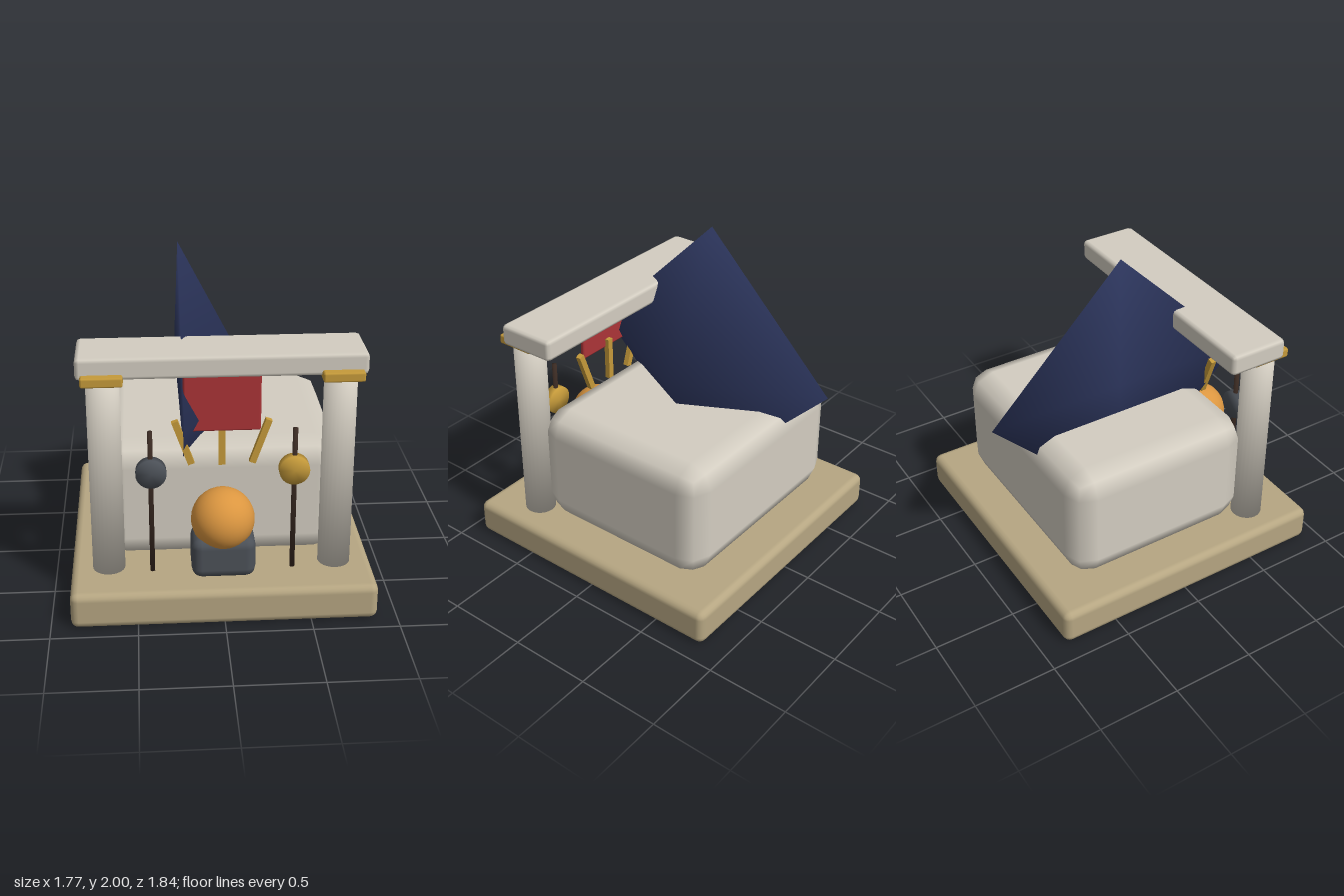
import * as THREE from 'three';
import { mergeVertices } from 'three/addons/utils/BufferGeometryUtils.js';
import { RoundedBoxGeometry } from 'three/addons/geometries/RoundedBoxGeometry.js';

const mat = (name, color) => {
  const m = new THREE.MeshStandardMaterial({ color });
  m.name = name;
  return m;
};

// Weld all corners and give them soft, angle-weighted normals
function soften(geometry) {
  geometry.deleteAttribute('normal');
  geometry.deleteAttribute('uv');
  const g = mergeVertices(geometry);
  const pos = g.attributes.position;
  const sums = Array.from({ length: pos.count }, () => new THREE.Vector3());
  const tri = new THREE.Triangle();
  const n = new THREE.Vector3();
  for (let i = 0; i < g.index.count; i += 3) {
    const ids = [0, 1, 2].map((k) => g.index.getX(i + k));
    tri.setFromAttributeAndIndices(pos, ...ids);
    tri.getNormal(n);
    const c = [tri.a, tri.b, tri.c];
    ids.forEach((id, k) => {
      const u = c[(k + 1) % 3].clone().sub(c[k]);
      const v = c[(k + 2) % 3].clone().sub(c[k]);
      sums[id].addScaledVector(n, u.angleTo(v));
    });
  }
  g.setAttribute('normal', new THREE.Float32BufferAttribute(
    sums.flatMap((s) => s.normalize().toArray()), 3));
  return g;
}

export function createModel() {
  const stone = mat('pale stone', 0xd3cdc1);
  const sand = mat('sand', 0xb6a682);
  const gold = mat('gold', 0xc59a3a);
  const navy = mat('navy', 0x2c355c);
  const red = mat('red', 0xab3437);
  const orange = mat('orange', 0xdb9640);
  const slate = mat('slate', 0x4c5158);
  const brown = mat('dark brown', 0x3a2a22);

  const model = new THREE.Group();
  model.name = 'shrine';
  const add = (name, geometry, material, x, y, z) => {
    const mesh = new THREE.Mesh(geometry, material);
    mesh.name = name;
    mesh.position.set(x, y, z);
    model.add(mesh);
    return mesh;
  };
  const block = (w, h, d, r, seg = 1) => new RoundedBoxGeometry(w, h, d, seg, r);

  // Base slab and main hall
  add('base', block(1.77, 0.22, 1.77, 0.045, 2), sand, 0, 0.11, 0.035);
  add('hall', block(1.41, 0.74, 1.2, 0.145), stone, 0, 0.59, -0.065);

  // Four-sided roof spike lying on its side, tip towards +x
  const roof = soften(new THREE.ConeGeometry(0.85, 0.44, 4));
  roof.rotateZ(-Math.PI / 2);
  add('roof', roof, navy, 0, 1.15, -0.07);

  // Gate: lintel, columns and capitals
  add('lintel', block(1.625, 0.13, 0.365, 0.025), stone, 0, 1.485, 0.48);
  for (const s of [-1, 1]) {
    add('column', soften(new THREE.CylinderGeometry(0.095, 0.095, 1.22, 24)), stone, s * 0.665, 0.81, 0.595);
    add('capital', block(0.235, 0.058, 0.235, 0.012), gold, s * 0.667, 1.428, 0.597);

    // Standards with a round disc on a thin pole
    add('pole', soften(new THREE.CylinderGeometry(0.015, 0.015, 0.89, 10)), brown, s * 0.41, 0.665, 0.655);
    const disc = soften(new THREE.CylinderGeometry(0.088, 0.088, 0.055, 28));
    disc.rotateX(Math.PI / 2);
    add('disc', disc, s < 0 ? slate : gold, s * 0.408, 0.857, 0.658);
  }

  // Hanging banner with three rays below
  add('banner', block(0.44, 0.4, 0.03, 0.012), red, 0, 1.28, 0.595);
  for (const s of [-1, 0, 1]) {
    const ray = add('ray', new THREE.BoxGeometry(0.038, 0.28, 0.035), gold, s * 0.222, 1.0, 0.57);
    ray.rotation.z = -s * 0.34;
  }

  // Orange ball resting on a pedestal
  add('pedestal', block(0.37, 0.25, 0.27, 0.06, 2), slate, 0, 0.352, 0.665);
  add('ball', new THREE.SphereGeometry(0.184, 32, 20), orange, 0, 0.557, 0.667);

  return model;
}
